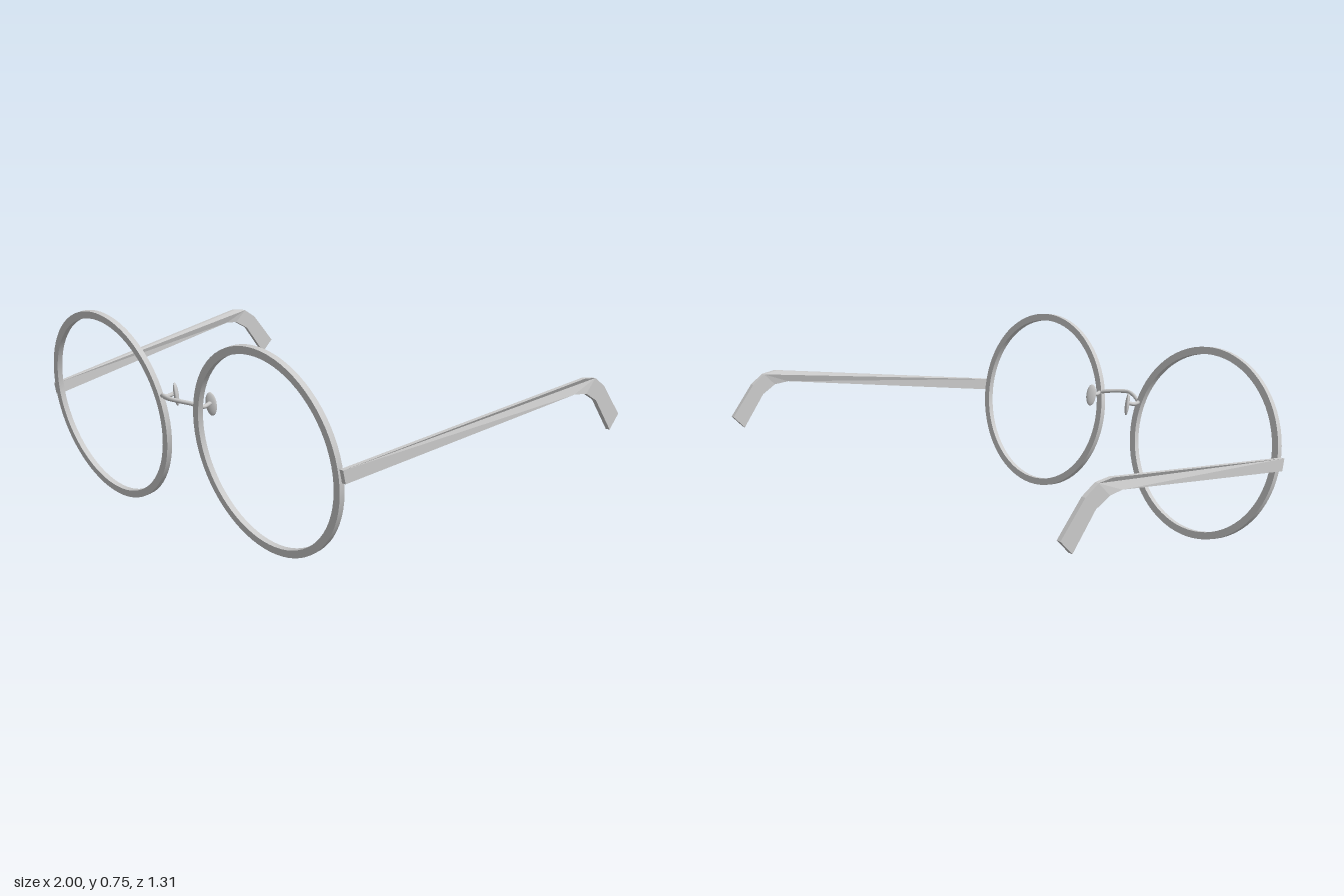
import * as THREE from 'three';
import { toCreasedNormals } from 'three/addons/utils/BufferGeometryUtils.js';

const TILT = 0.157; // forward lean of the rims

export function createModel() {
  const model = new THREE.Group();
  const material = new THREE.MeshStandardMaterial({ color: 0xcccccc });

  const add = (name, geometry) => {
    const mesh = new THREE.Mesh(geometry, material);
    mesh.name = name;
    model.add(mesh);
    return mesh;
  };
  const wire = (points, radius, segments) => new THREE.TubeGeometry(
    new THREE.CatmullRomCurve3(points.map((p) => new THREE.Vector3(...p))), segments, radius, 10);

  // Round rim: a rectangular section turned about the z axis
  const rimGeometry = () => {
    const ri = 0.348, ro = 0.376, h = 0.011;
    const section = [[ri, -h], [ro, -h], [ro, h], [ri, h], [ri, -h]]
      .map(([r, y]) => new THREE.Vector2(r, y));
    const lathe = new THREE.LatheGeometry(section, 72);
    return toCreasedNormals(lathe.rotateX(Math.PI / 2 + TILT), 0.6);
  };

  // Temple: flat side outline in (z, y), splayed outwards up to the ear bend
  const templeGeometry = (side) => {
    const outline = [
      [0.587, 0.351], [-0.39, 0.516], [-0.45, 0.511], [-0.51, 0.478], [-0.605, 0.353],
      [-0.655, 0.405], [-0.555, 0.525], [-0.5, 0.561], [-0.44, 0.568], [0.597, 0.398],
    ].map(([z, y]) => new THREE.Vector2(z, y));
    const depth = 0.017;
    const geometry = new THREE.ExtrudeGeometry(new THREE.Shape(outline), { depth, bevelEnabled: false });
    geometry.translate(0, 0, -depth / 2).rotateY(-Math.PI / 2);
    const pos = geometry.attributes.position;
    for (let i = 0; i < pos.count; i++) {
      const t = (0.59 - pos.getZ(i)) / 1.03;
      const splay = t < 1 ? 0.852 + 0.139 * t : 0.991 - 0.03 * (t - 1);
      pos.setX(i, pos.getX(i) + side * splay);
    }
    geometry.computeVertexNormals();
    return geometry;
  };

  for (const side of [1, -1]) {
    const label = side > 0 ? 'left' : 'right';

    add(label + 'Rim', rimGeometry()).position.set(side * 0.465, 0.374, 0.588);
    add(label + 'Temple', templeGeometry(side));

    // Nose pad: flattened oval turned inwards and backwards
    const pad = add(label + 'NosePad', new THREE.SphereGeometry(1, 20, 14));
    pad.scale.set(0.009, 0.045, 0.02);
    pad.position.set(side * 0.105, 0.47, 0.536);
    pad.rotation.set(TILT, -side * Math.PI / 4, 0);

    // Short arm from the rim to the pad
    add(label + 'PadArm', wire([
      [side * 0.115, 0.472, 0.603], [side * 0.11, 0.467, 0.57], [side * 0.106, 0.476, 0.537],
    ], 0.008, 12));
  }

  // Bridge: thin wire bowing forward between the rims
  add('bridge', wire([
    [-0.118, 0.47, 0.595], [-0.09, 0.478, 0.606], [-0.045, 0.484, 0.63], [0, 0.487, 0.643],
    [0.045, 0.484, 0.63], [0.09, 0.478, 0.606], [0.118, 0.47, 0.595],
  ], 0.008, 32));

  return model;
}
